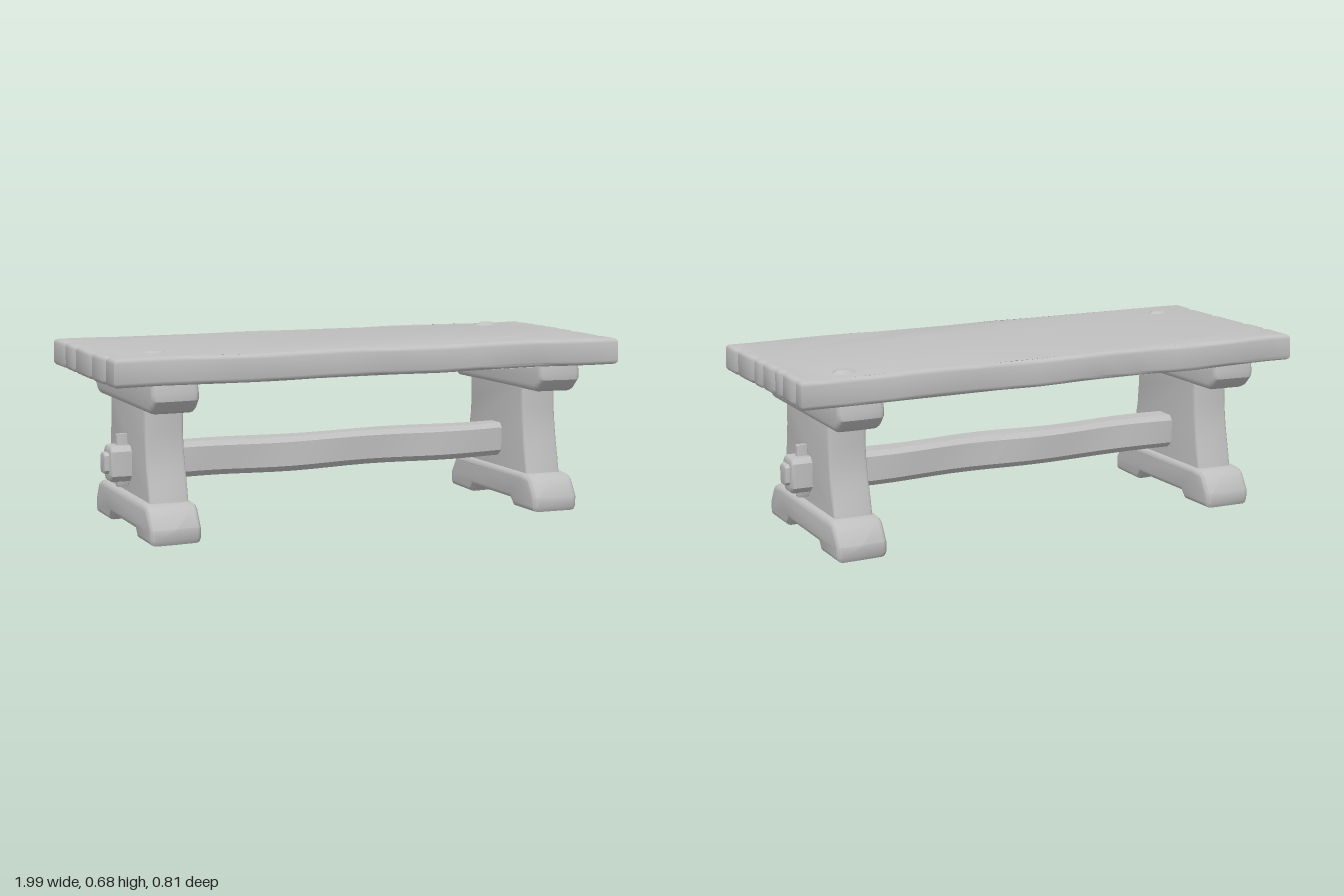
import * as THREE from 'three';
import { toCreasedNormals } from 'three/addons/utils/BufferGeometryUtils.js';

const wood = new THREE.MeshStandardMaterial({ color: 0xc0c0c0 });
wood.name = 'plain grey wood';

// Extrude an outline with softened edges; the outline is the outer silhouette.
function slab(points, depth, bevel) {
  const shape = new THREE.Shape(points.map(([a, b]) => new THREE.Vector2(a, b)));
  const geo = new THREE.ExtrudeGeometry(shape, {
    depth: depth - 2 * bevel, steps: Math.max(1, Math.round(depth / 0.08)),
    bevelEnabled: true, bevelThickness: bevel, bevelSize: bevel,
    bevelOffset: -bevel, bevelSegments: 3,
  });
  return geo.translate(0, 0, bevel);
}

// Gentle hand-hewn unevenness, depending on position only so seams stay closed.
function hew(geo, amount) {
  const p = geo.attributes.position;
  for (let i = 0; i < p.count; i++) {
    const x = p.getX(i), y = p.getY(i), z = p.getZ(i);
    p.setXYZ(i,
      x + amount * 0.5 * Math.sin(19 * z + 13 * y),
      y + amount * Math.sin(9 * x + 7 * z),
      z + amount * Math.sin(11 * x + 17 * y + 1));
  }
  return toCreasedNormals(geo, 0.6);
}

function part(name, geo) {
  const mesh = new THREE.Mesh(geo, wood);
  mesh.name = name;
  return mesh;
}

// Mirror half an outline, listed from bottom to top, across its centre line.
const mirrored = (half) => [...half, ...half.map(([a, b]) => [-a, b]).reverse()];

// Part with an outline in the z-y plane, running from x0 to x1.
function across(name, half, x0, x1, bevel, rough = 0.002) {
  const geo = slab(mirrored(half), x1 - x0, bevel);
  geo.rotateY(Math.PI / 2).translate(x0, 0, 0);
  return part(name, hew(geo, rough));
}

// Tabletop outline: wavy long edges and plank notches in both ends.
function tabletop() {
  const end = (notches) => {
    const pts = [[0.995, -0.403]];
    for (const z of notches) pts.push([0.995, z - 0.022], [0.982, z], [0.995, z + 0.022]);
    pts.push([0.995, 0.403]);
    return pts;
  };
  const edge = [];
  for (let i = 1; i < 24; i++) {
    const x = 1 - i / 12;
    edge.push([x * 0.98, 0.403 - 0.004 * Math.abs(Math.sin(i * 2.3))]);
  }
  const right = end([-0.28, -0.1, 0, 0.12, 0.2, 0.33]);
  const left = end([-0.28, -0.11, 0.11, 0.25]);
  const outline = [...right, ...edge,
    ...left.map(([x, z]) => [-x, z]).reverse(),
    ...edge.map(([x, z]) => [-x, -z])];
  const geo = slab(outline, 0.1, 0.016);
  geo.rotateX(-Math.PI / 2).translate(0, 0.571, 0);
  return part('tabletop', hew(geo, 0.002));
}

const footHalf = [[0.155, 0.031], [0.18, 0.003], [0.343, 0.005], [0.352, 0.022],
  [0.352, 0.062], [0.31, 0.127], [0.29, 0.138], [0.24, 0.141]];
const panelHalf = [[0.268, 0.1], [0.258, 0.145], [0.245, 0.2], [0.23, 0.26],
  [0.22, 0.32], [0.214, 0.39], [0.214, 0.5]];
const bracketHalf = [[0.315, 0.467], [0.335, 0.478], [0.368, 0.515], [0.37, 0.54], [0.36, 0.585]];
const beamHalf = [[0.028, 0.182], [0.052, 0.205], [0.052, 0.295], [0.036, 0.314]];
const tipHalf = [[0.02, 0.212], [0.032, 0.225], [0.032, 0.28], [0.02, 0.29]];
const pegHalf = [[0.012, 0.16], [0.022, 0.185], [0.012, 0.31], [0.01, 0.355]];

// One trestle on the +x side
function trestle() {
  const g = new THREE.Group();
  g.add(
    across('foot', footHalf, 0.668, 0.858, 0.02),
    across('legPanel', panelHalf, 0.686, 0.832, 0.012),
    across('topBracket', bracketHalf, 0.676, 0.85, 0.022),
    across('beamEnd', beamHalf, 0.8, 0.91, 0.014),
    across('beamTip', tipHalf, 0.88, 0.928, 0.008),
    across('lockingPeg', pegHalf, 0.832, 0.875, 0.005, 0.001),
  );
  return g;
}

export function createModel() {
  const model = new THREE.Group();
  model.name = 'trestleTable';
  model.add(tabletop());

  // Trestles face outward at each end
  const leftTrestle = trestle();
  leftTrestle.name = 'leftTrestle';
  const rightTrestle = trestle();
  rightTrestle.name = 'rightTrestle';
  rightTrestle.rotation.y = Math.PI;
  model.add(leftTrestle, rightTrestle);

  model.add(across('stretcherBeam', beamHalf, -0.75, 0.75, 0.01, 0.003));

  // Raised splinters on the top surface
  for (const [x, z] of [[-0.8, 0.25], [0.8, -0.3]]) {
    const geo = new THREE.CylinderGeometry(0.02, 0.036, 0.014, 7);
    geo.scale(1.4, 1, 1).translate(x, 0.674, z);
    model.add(part('splinter', toCreasedNormals(geo, 0.6)));
  }
  return model;
}
